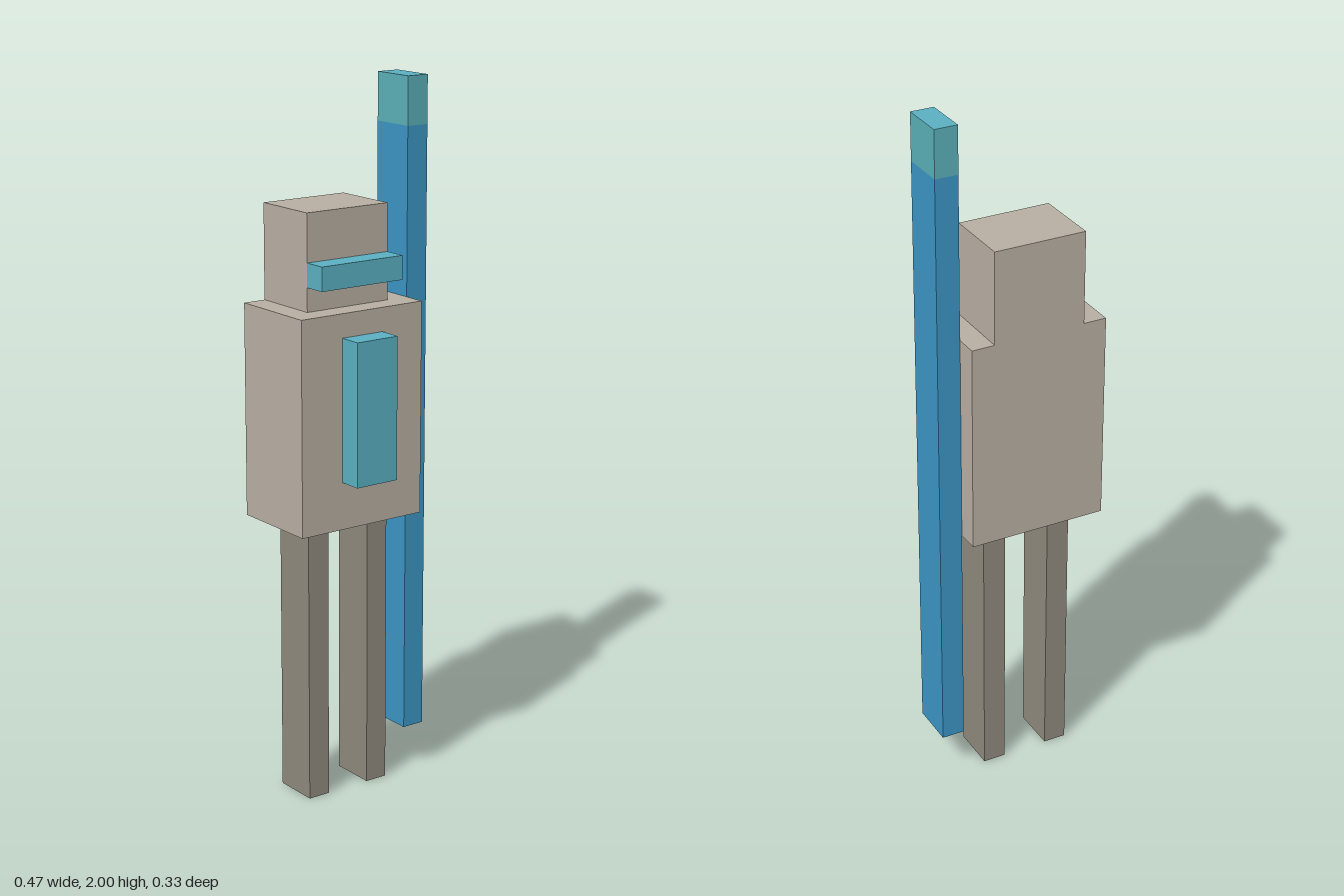
import * as THREE from 'three';

const U = 1 / 30; // grid unit of the blocky figure

function material(name, color) {
  const m = new THREE.MeshStandardMaterial({ color });
  m.name = name;
  return m;
}

export function createModel() {
  const stone = material('warm stone', 0xb7aea2);
  const darkStone = material('dark stone', 0x8e887c);
  const teal = material('teal', 0x5aafc1);
  const tipTeal = material('green teal', 0x5aaeb6);
  const blue = material('blue', 0x3b94c2);

  const model = new THREE.Group();
  model.name = 'figure';

  // Box given by its low and high corners in grid units
  function block(name, mat, [x0, y0, z0], [x1, y1, z1]) {
    const geometry = new THREE.BoxGeometry((x1 - x0) * U, (y1 - y0) * U, (z1 - z0) * U);
    const mesh = new THREE.Mesh(geometry, mat);
    mesh.position.set((x0 + x1) / 2 * U, (y0 + y1) / 2 * U, (z0 + z1) / 2 * U);
    mesh.name = name;
    model.add(mesh);
  }

  // Body and head
  block('torso', stone, [-7, 24, -5], [5, 42, 3]);
  block('head', stone, [-5, 42, -5], [3, 50, 1]);

  // Legs
  block('rightLeg', darkStone, [-5, 0, -3], [-3, 24, 1]);
  block('leftLeg', darkStone, [1, 0, -3], [3, 24, 1]);

  // Raised accents
  block('visor', teal, [-5, 44, 1], [3, 46, 3]);
  block('chestPlate', teal, [-3, 28, 3], [1, 40, 5]);

  // Staff at the left side, with a paler tip
  block('staffShaft', blue, [5, 4, -3], [7, 56, 1]);
  block('staffTip', [tipTeal, tipTeal, teal, teal, tipTeal, tipTeal], [5, 56, -3], [7, 60, 1]);

  return model;
}
